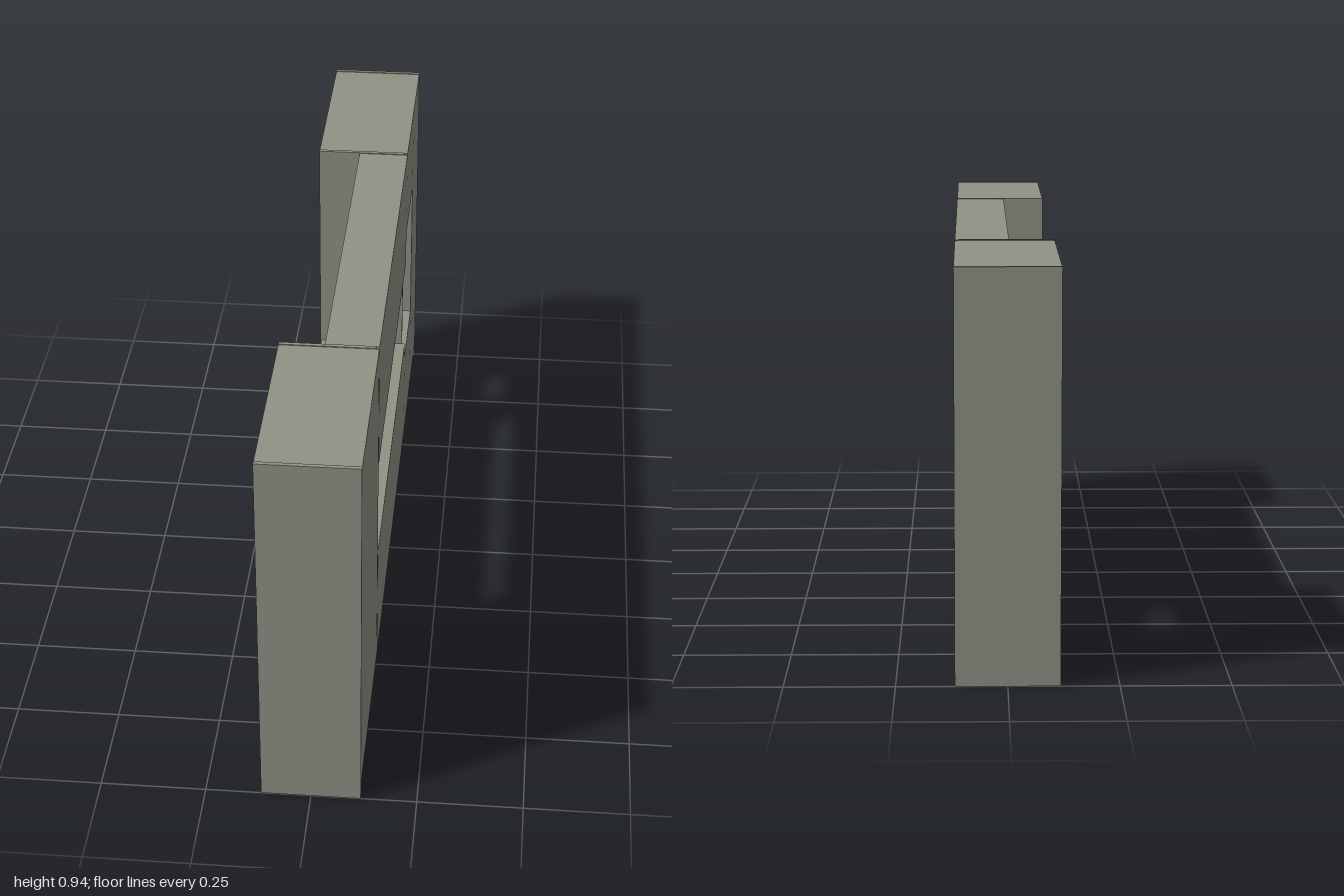
import * as THREE from 'three';

const D = 0.118;      // half depth of the unit
const H = 0.94;       // overall height
const TOP = 0.938;    // top boards, just below the uprights
const LID = 0.931;    // underside of the top boards
const KICK = 0.04;    // plinth height
const FACE = -0.115;  // plane of the doors
const BODY = -0.108;  // carcass plane behind the doors
const BACK = 0.11;    // carcass plane behind the rear panels
const GAP = 0.002;    // half of the joint between panels

export function createModel() {
  const group = new THREE.Group();
  const material = new THREE.MeshStandardMaterial({ color: 0x929386 });

  // Box given by its limits on each axis
  function block(name, [x0, x1], [y0, y1], [z0, z1], parent = group) {
    const mesh = new THREE.Mesh(new THREE.BoxGeometry(x1 - x0, y1 - y0, z1 - z0), material);
    mesh.position.set((x0 + x1) / 2, (y0 + y1) / 2, (z0 + z1) / 2);
    mesh.name = name;
    parent.add(mesh);
  }
  const door = (name, y, z, parent) => block(name, [FACE, BODY],
    [y[0] + GAP, y[1] - GAP], [z[0] + GAP, z[1] - GAP], parent);
  const rear = (y, z, parent) => block('rearPanel', [BACK, D], y, z, parent);
  const section = (name) => {
    const part = new THREE.Group();
    part.name = name;
    group.add(part);
    return part;
  };

  // Upright panels standing on the floor; the inner ones sit behind the rear panels
  for (const z of [-1, 0.99]) block('endPanel', [-D, D], [0, H], [z, z + 0.01]);
  for (const z of [-0.495, 0.495]) block('innerUpright', [-D, BACK], [0, H], [z, z + 0.01]);

  // Plinth boards along the door side, set back under the doors
  for (const z of [[-0.99, -0.495], [-0.485, 0.495], [0.505, 0.99]]) {
    block('plinth', [-0.106, -0.098], [0, KICK], z);
  }

  // Tall wardrobe: two doors over a wide drawer
  const wardrobe = section('wardrobe');
  const wardrobeZ = [0.505, 0.99];
  block('carcass', [BODY, BACK], [KICK, LID], wardrobeZ, wardrobe);
  block('topBoard', [-D, D], [LID, TOP], wardrobeZ, wardrobe);
  rear([KICK, LID], wardrobeZ, wardrobe);
  door('drawerFront', [KICK, 0.35], wardrobeZ, wardrobe);
  for (const z of [[0.505, 0.7475], [0.7475, 0.99]]) {
    door('upperDoor', [0.35, LID], z, wardrobe);
  }

  // Tall cabinet with a see-through niche beside the inner upright
  const tower = section('nicheCabinet');
  const tallZ = [-0.99, -0.745];
  const nicheZ = [-0.745, -0.495];
  const nicheRearZ = [-0.741, -0.487];
  block('tallCarcass', [BODY, BACK], [KICK, LID], tallZ, tower);
  block('nicheBase', [BODY, BACK], [KICK, 0.304], nicheZ, tower);
  block('nicheHead', [BODY, BACK], [0.702, LID], nicheZ, tower);
  block('topBoard', [-D, D], [LID, TOP], [-0.99, -0.495], tower);
  rear([KICK, LID], tallZ, tower);
  rear([KICK, 0.304], nicheRearZ, tower);
  rear([0.702, LID], nicheRearZ, tower);
  block('tallDoor', [FACE, BODY], [KICK + GAP, LID - GAP], [-0.988, -0.745], tower);
  block('lowerDoor', [FACE, BODY], [KICK + GAP, 0.304], [-0.745, -0.497], tower);
  block('nicheRail', [FACE, BODY], [0.702, 0.735], [-0.745, -0.497], tower);
  block('upperDoor', [FACE, BODY], [0.739, LID - GAP], [-0.745, -0.497], tower);

  // Base cabinet: drawers under a worktop with a rectangular basin
  const base = section('baseCabinet');
  const midZ = [-0.485, 0.495];
  const basin = { x0: -0.099, x1: 0.08, z0: -0.46, z1: -0.275, floor: 0.2 };
  block('lowerCarcass', [BODY, BACK], [KICK, basin.floor], midZ, base);
  const outline = new THREE.Shape([[BODY, midZ[0]], [BACK, midZ[0]], [BACK, midZ[1]], [BODY, midZ[1]]]
    .map(([x, z]) => new THREE.Vector2(x, -z)));
  outline.holes.push(new THREE.Path([[basin.x0, basin.z0], [basin.x0, basin.z1],
    [basin.x1, basin.z1], [basin.x1, basin.z0]].map(([x, z]) => new THREE.Vector2(x, -z))));
  const worktop = new THREE.Mesh(new THREE.ExtrudeGeometry(outline,
    { depth: 0.35 - basin.floor, bevelEnabled: false }).rotateX(-Math.PI / 2), material);
  worktop.name = 'worktopWithBasin';
  worktop.position.y = basin.floor;
  base.add(worktop);
  block('worktopEdge', [-0.116, BODY], [0.342, 0.35], midZ, base);
  rear([KICK, 0.35], midZ, base);
  door('lowerDrawer', [KICK, 0.19], midZ, base);
  door('upperDrawer', [0.19, 0.342], midZ, base);

  // Shallow wall cabinet: flap between thin top and bottom boards
  const wall = section('wallCabinet');
  block('carcass', [-0.004, BACK], [0.615, LID], midZ, wall);
  block('topBoard', [-0.01, D], [LID, TOP], midZ, wall);
  block('bottomBoard', [-0.01, BACK], [0.608, 0.615], midZ, wall);
  rear([0.608, LID], midZ, wall);

  return group;
}
